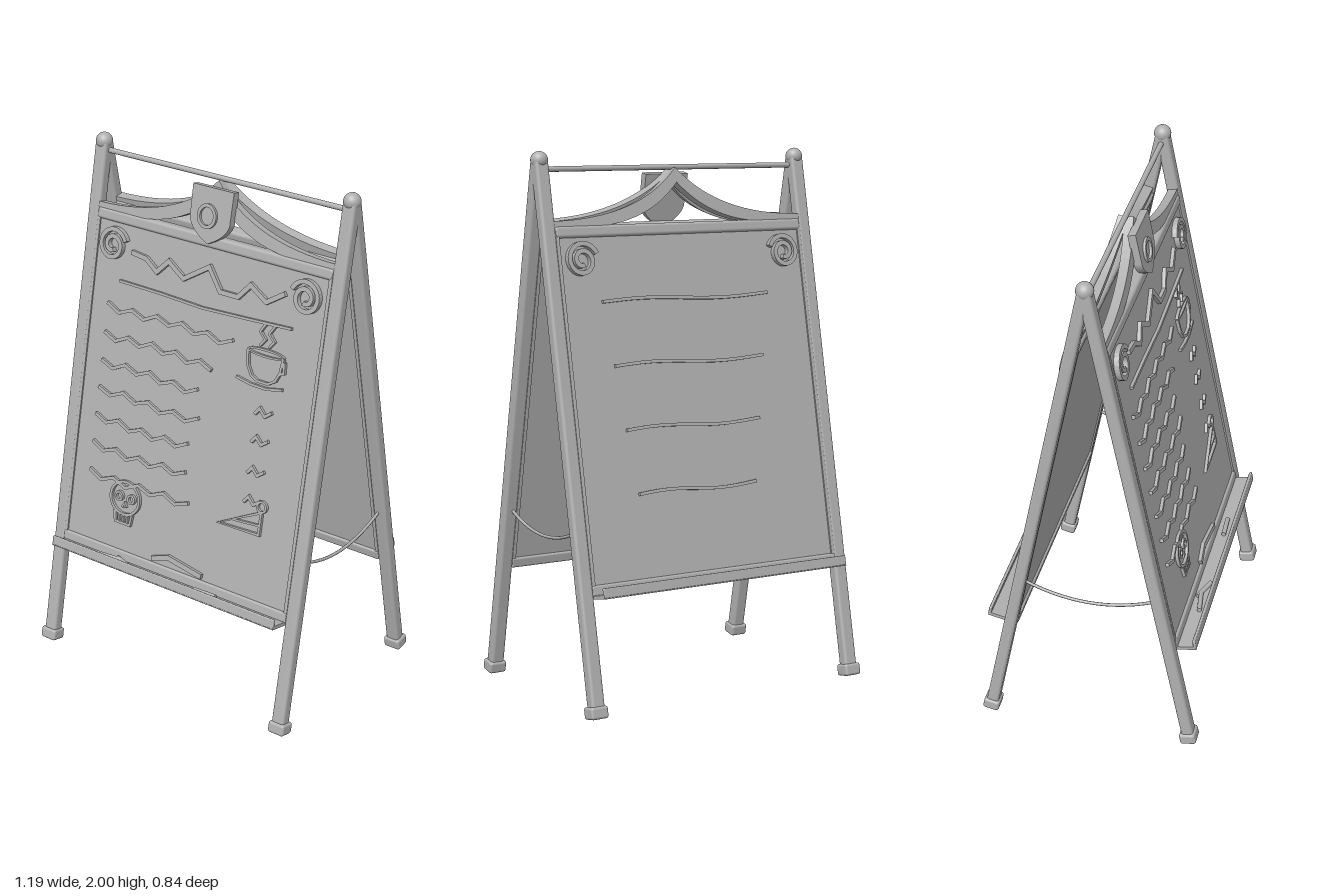
import * as THREE from 'three';
import { RoundedBoxGeometry } from 'three/addons/geometries/RoundedBoxGeometry.js';

const APEX = 1.97, TILT = Math.atan(0.2), FACE = 0.016;
// height on the sloping face -> local height below the hinge
const Y = (y) => (y - APEX - 0.004) / Math.cos(TILT);
const V = (x, y) => new THREE.Vector2(x, y);

export function createModel() {
  const grey = new THREE.MeshStandardMaterial({ color: 0xb0b0b0 });
  grey.name = 'plain grey';
  const model = new THREE.Group();
  model.name = 'sandwichBoard';

  const add = (parent, name, geo, x = 0, y = 0, z = 0) => {
    const m = new THREE.Mesh(geo, grey);
    m.name = name;
    m.position.set(x, y, z);
    parent.add(m);
    return m;
  };
  const extrude = (shape, depth) => new THREE.ExtrudeGeometry(shape, { depth, bevelEnabled: false, curveSegments: 16 });

  // raised line of constant width following a path on the board face
  const stroke = (parent, name, path, width = 0.013, depth = 0.012, base = FACE) => {
    const p = path.map(([x, y]) => V(x, Y(y)));
    const left = [], right = [];
    p.forEach((c, i) => {
      const a = c.clone().sub(p[Math.max(i - 1, 0)]).normalize();
      const b = p[Math.min(i + 1, p.length - 1)].clone().sub(c).normalize();
      const t = a.clone().add(b).normalize();
      const ref = i ? a : b;
      const k = width / 2 / Math.max(0.5, t.dot(ref));
      left.push(V(c.x - t.y * k, c.y + t.x * k));
      right.unshift(V(c.x + t.y * k, c.y - t.x * k));
    });
    return add(parent, name, extrude(new THREE.Shape([...left, ...right]), depth), 0, 0, base);
  };
  const oval = (parent, name, x, y, rx, ry, w = 0.01, base = FACE) => {
    const s = new THREE.Shape().absellipse(x, Y(y), rx, ry, 0, Math.PI * 2);
    s.holes.push(new THREE.Path().absellipse(x, Y(y), rx - w, ry - w, 0, Math.PI * 2));
    add(parent, name, extrude(s, 0.012), 0, 0, base);
  };
  const zigzag = (x0, x1, y, amp, step) => {
    const n = Math.max(2, Math.round((x1 - x0) / step));
    return Array.from({ length: n + 1 }, (_, i) =>
      [x0 + (x1 - x0) * i / n, y + (i % 2 ? -amp : amp) * (0.75 + 0.25 * Math.sin(i * 2.3 + y * 9))]);
  };

  // one leaning half of the stand
  const makeHalf = (name, turn) => {
    const holder = new THREE.Group();
    holder.name = name;
    holder.position.y = APEX;
    holder.rotation.y = turn;
    const half = new THREE.Group();
    half.name = name + 'Frame';
    half.rotation.x = -TILT;
    holder.add(half);
    model.add(holder);

    const foot = (0.028 - APEX) / Math.cos(TILT);
    for (const s of [-1, 1]) {
      add(half, 'leg', new RoundedBoxGeometry(0.054, -foot, 0.046, 3, 0.012), s * 0.557, foot / 2, 0);
      add(half, 'foot', new RoundedBoxGeometry(0.07, 0.045, 0.062, 2, 0.01), s * 0.558, foot, 0);
      add(half, 'sideMoulding', new THREE.BoxGeometry(0.014, 1.3, 0.044), s * 0.527, Y(1.08), 0);
      // scroll ornament in the upper corner
      const spiral = [];
      for (let i = 0; i <= 48; i++) {
        const t = i / 48, a = 0.35 + t * Math.PI * 3.5, r = 0.064 - 0.046 * t;
        spiral.push([s * (-0.44 + r * Math.cos(a)), 1.61 + r * Math.sin(a)]);
      }
      stroke(half, 'scroll', spiral, 0.017, 0.02);
    }

    // board, rails and chalk tray
    add(half, 'board', new THREE.BoxGeometry(1.07, 1.31, 0.032), 0, Y(1.08), 0);
    add(half, 'topRail', new RoundedBoxGeometry(1.07, 0.044, 0.05, 3, 0.012), 0, Y(1.713), 0);
    add(half, 'bottomRail', new RoundedBoxGeometry(1.07, 0.04, 0.05, 3, 0.008), 0, Y(0.452), 0);
    add(half, 'tray', new THREE.BoxGeometry(1.06, 0.014, 0.08), 0, Y(0.43), 0.054);
    add(half, 'trayLip', new RoundedBoxGeometry(1.06, 0.036, 0.012, 2, 0.004), 0, Y(0.444), 0.09);

    // swept crest rising to the middle
    const crest = new THREE.Shape();
    crest.moveTo(-0.535, Y(1.73));
    crest.lineTo(-0.535, Y(1.752));
    crest.quadraticCurveTo(-0.17, Y(1.755), 0, Y(1.935));
    crest.quadraticCurveTo(0.17, Y(1.755), 0.535, Y(1.752));
    crest.lineTo(0.535, Y(1.73));
    crest.lineTo(0.34, Y(1.73));
    crest.quadraticCurveTo(0.13, Y(1.745), 0, Y(1.88));
    crest.quadraticCurveTo(-0.13, Y(1.745), -0.34, Y(1.73));
    add(half, 'crest', extrude(crest, 0.036), 0, 0, -0.016);
    return half;
  };
  const front = makeHalf('frontHalf', 0);
  const back = makeHalf('backHalf', Math.PI);

  // shield with a plain ring
  const sh = new THREE.Shape();
  sh.moveTo(-0.092, Y(1.91));
  sh.lineTo(0.092, Y(1.91));
  sh.lineTo(0.09, Y(1.79));
  sh.quadraticCurveTo(0.08, Y(1.745), 0, Y(1.708));
  sh.quadraticCurveTo(-0.08, Y(1.745), -0.09, Y(1.79));
  add(front, 'shield', extrude(sh, 0.03), 0, 0, 0.016);
  oval(front, 'shieldRing', -0.01, 1.807, 0.043, 0.046, 0.013, 0.044);

  // heading and menu rows
  stroke(front, 'heading', [[-0.35, 1.6], [-0.28, 1.592], [-0.225, 1.555], [-0.175, 1.605], [-0.1, 1.558], [0.01, 1.625],
    [0.07, 1.548], [0.15, 1.548], [0.2, 1.602], [0.275, 1.558], [0.35, 1.605]], 0.018, 0.014);
  stroke(front, 'underline', [[-0.395, 1.483], [-0.2, 1.48], [0, 1.472], [0.2, 1.48], [0.395, 1.489]], 0.01);
  [0.15, 0.07, 0.02, 0.04, 0.005, 0.01, 0.04].forEach((end, i) =>
    stroke(front, 'menuRow', zigzag(-0.44, end, 1.38 - i * 0.108, 0.016, 0.058)));
  [1.165, 1.06, 0.945, 0.835].forEach((y) =>
    stroke(front, 'priceMark', [[0.285, y - 0.012], [0.305, y + 0.012], [0.33, y - 0.012], [0.358, y + 0.008]], 0.012));

  // steaming cup
  oval(front, 'cupRim', 0.3, 1.378, 0.082, 0.016, 0.008);
  stroke(front, 'cupBowl', [[0.222, 1.375], [0.228, 1.32], [0.25, 1.285], [0.28, 1.272], [0.325, 1.272], [0.355, 1.29], [0.372, 1.325], [0.378, 1.375]], 0.01);
  stroke(front, 'cupHandle', [[0.375, 1.358], [0.385, 1.36], [0.387, 1.325], [0.37, 1.318]], 0.01);
  stroke(front, 'saucer', [[0.185, 1.265], [0.25, 1.254], [0.32, 1.252], [0.39, 1.266]], 0.01);
  for (const x of [0.27, 0.31])
    stroke(front, 'steam', [[x, 1.4], [x + 0.02, 1.425], [x - 0.005, 1.45], [x + 0.018, 1.485]], 0.009);

  // slice of cake with a cherry
  stroke(front, 'cakeSlice', [[0.37, 0.72], [0.185, 0.715], [0.37, 0.805], [0.37, 0.715]], 0.01);
  stroke(front, 'cakeLayer', [[0.25, 0.745], [0.37, 0.755]], 0.008);
  oval(front, 'cherry', 0.368, 0.825, 0.024, 0.024, 0.009);

  // skull drawing
  oval(front, 'skull', -0.255, 0.678, 0.074, 0.07, 0.011);
  for (const s of [-1, 1]) oval(front, 'skullEye', -0.255 + s * 0.029, 0.68, 0.02, 0.02, 0.009);
  stroke(front, 'skullNose', [[-0.264, 0.642], [-0.255, 0.657], [-0.246, 0.642]], 0.008);
  stroke(front, 'skullJaw', [[-0.296, 0.622], [-0.29, 0.58], [-0.22, 0.58], [-0.214, 0.622]], 0.01);
  for (let i = -1; i <= 1; i++) stroke(front, 'skullTooth', [[-0.255 + i * 0.02, 0.582], [-0.255 + i * 0.02, 0.612]], 0.007);

  // chalk mark and loose chalk
  stroke(front, 'chalkMark', [[-0.095, 0.488], [-0.02, 0.513], [0.14, 0.488]], 0.02, 0.014);
  for (const [x, z, len, turn] of [[-0.275, 0.056, 0.11, 0.15], [-0.205, 0.056, 0.09, -0.4], [0.185, 0.056, 0.1, 0.05]]) {
    const chalk = add(front, 'chalk', new THREE.CylinderGeometry(0.009, 0.009, len, 10), x, Y(0.446), z);
    chalk.rotation.set(0, turn, Math.PI / 2);
  }

  // long lines on the back
  [[-0.37, 0.35, 1.46], [-0.345, 0.3, 1.23], [-0.325, 0.255, 1.0], [-0.3, 0.21, 0.77]].forEach(([a, b, y]) =>
    stroke(back, 'backLine', Array.from({ length: 13 }, (_, i) =>
      [a + (b - a) * i / 12, y + 0.007 * Math.sin(i * 0.55)]), 0.012));

  // top bar, hinge balls and sagging stays
  add(model, 'topBar', new THREE.CylinderGeometry(0.01, 0.01, 1.11, 16), 0, 1.935, 0).rotation.z = Math.PI / 2;
  for (const s of [-1, 1]) {
    add(model, 'hingeBall', new THREE.SphereGeometry(0.032, 24, 16), s * 0.557, 1.968, 0);
    const sag = new THREE.QuadraticBezierCurve3(new THREE.Vector3(s * 0.55, 0.657, 0.25),
      new THREE.Vector3(s * 0.55, 0.543, 0), new THREE.Vector3(s * 0.55, 0.657, -0.25));
    add(model, 'stay', new THREE.TubeGeometry(sag, 24, 0.006, 8));
  }
  return model;
}
